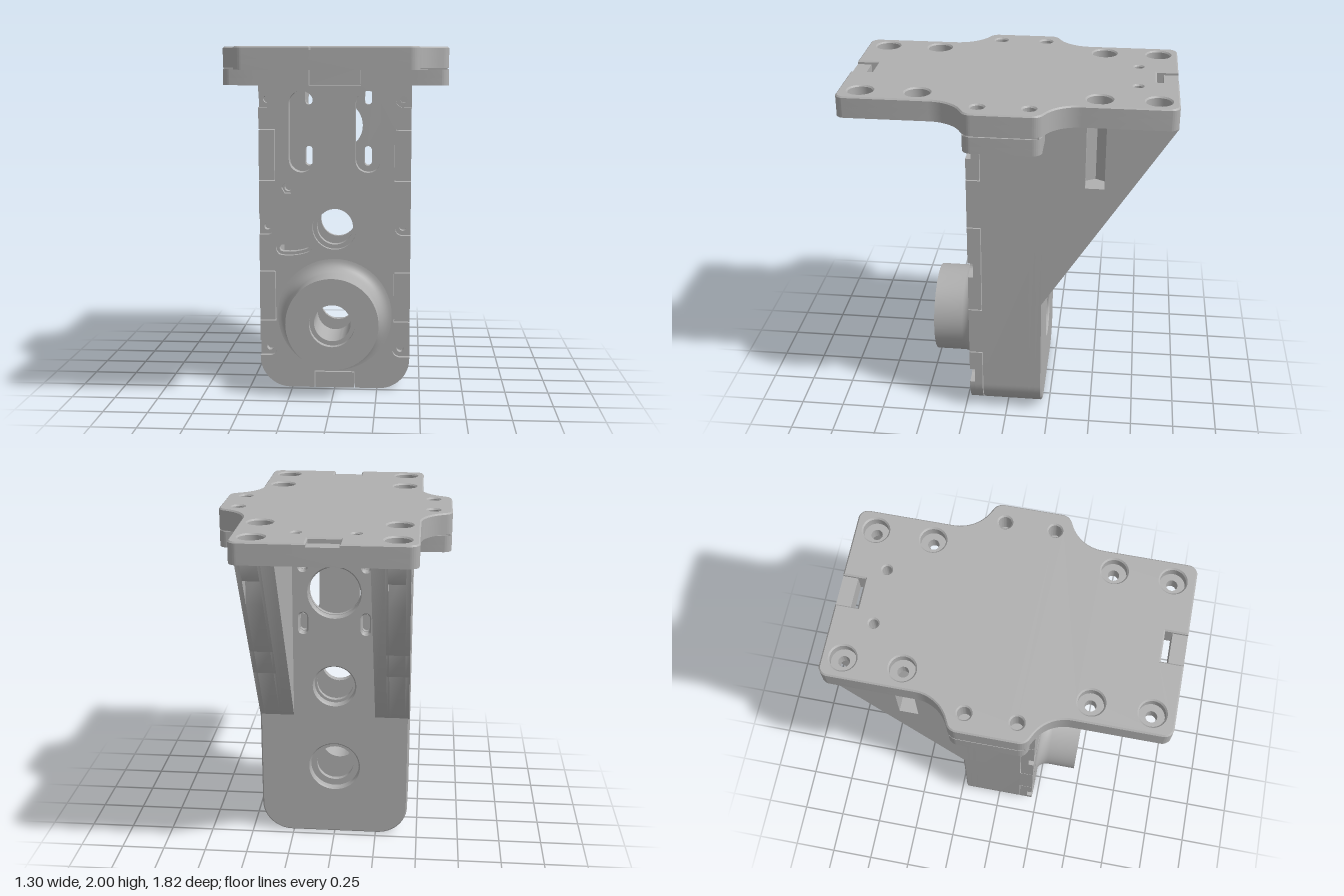
import * as THREE from 'three';
import { toCreasedNormals } from 'three/addons/utils/BufferGeometryUtils.js';

const V = (x, y) => new THREE.Vector2(x, y);

// Closed outline from [x, y, cornerRadius] points
function poly(points) {
  const shape = new THREE.Shape();
  const n = points.length;
  points.forEach((p, i) => {
    const c = V(p[0], p[1]);
    const r = p[2] || 0;
    const move = (q) => (i === 0 ? shape.moveTo(q.x, q.y) : shape.lineTo(q.x, q.y));
    if (!r) return move(c);
    const q0 = points[(i + n - 1) % n], q1 = points[(i + 1) % n];
    const a = V(q0[0], q0[1]).sub(c).normalize();
    const b = V(q1[0], q1[1]).sub(c).normalize();
    const turn = Math.PI - Math.acos(a.dot(b));
    const t = r * Math.tan(turn / 2);
    const k = t - (4 / 3) * Math.tan(turn / 4) * r;
    const s = c.clone().addScaledVector(a, t), e = c.clone().addScaledVector(b, t);
    const h0 = c.clone().addScaledVector(a, k), h1 = c.clone().addScaledVector(b, k);
    move(s);
    shape.bezierCurveTo(h0.x, h0.y, h1.x, h1.y, e.x, e.y);
  });
  shape.closePath();
  return shape;
}

const rect = (x0, y0, x1, y1) => poly([[x0, y0], [x1, y0], [x1, y1], [x0, y1]]);
const circle = (x, y, r) => new THREE.Shape().absarc(x, y, r, 0, Math.PI * 2, false);
const hexagon = (x, y, r) => poly([0, 1, 2, 3, 4, 5].map((i) =>
  [x + r * Math.cos(i * Math.PI / 3), y + r * Math.sin(i * Math.PI / 3)]));

// Round-ended slot along a curve
function slot(curve, r) {
  const pts = [];
  const along = (t, turn) => {
    const p = curve.getPoint(t), d = curve.getTangent(t);
    pts.push(p.add(d.rotateAround(V(0, 0), turn).multiplyScalar(r)));
  };
  const h = Math.PI / 2;
  for (let i = 0; i <= 8; i++) along(i / 8, -h);
  for (let i = 1; i < 10; i++) along(1, -h + i * Math.PI / 10);
  for (let i = 8; i >= 0; i--) along(i / 8, h);
  for (let i = 1; i < 10; i++) along(0, h + i * Math.PI / 10);
  return new THREE.Shape(pts);
}
const uprightSlot = (x, y0, y1, r) => slot(new THREE.LineCurve(V(x, y0 + r), V(x, y1 - r)), r);

// Extrude between two levels, optionally with chamfered ends
function slab(shape, holes, from, to, bevel = 0) {
  shape.holes.push(...holes);
  const g = new THREE.ExtrudeGeometry(shape, {
    depth: to - from - 2 * bevel, curveSegments: 20, bevelEnabled: bevel > 0,
    bevelSize: bevel, bevelThickness: bevel, bevelOffset: -bevel, bevelSegments: 1,
  });
  return g.translate(0, 0, from + bevel);
}

// Mirror a right-hand list of points across x = 0
const mirrored = (pts) => [...pts, ...pts.map(([x, y, r]) => [-x, y, r]).reverse()];

export function createModel() {
  const model = new THREE.Group();
  const grey = new THREE.MeshStandardMaterial({ color: 0xb0b0b0 });
  grey.name = 'grey';
  const add = (name, geometry) => {
    const mesh = new THREE.Mesh(toCreasedNormals(geometry, 0.6), grey);
    mesh.name = name;
    model.add(mesh);
    return mesh;
  };
  const sides = [-1, 1];
  const both = (fn) => sides.flatMap((s) => fn(s));

  // Rear housing: chamfered back wall, inner lip wall and side walls
  const body = () => poly(mirrored([[0.44, 0, 0.18], [0.44, 1.88]]));
  const backOpenings = (r1, r2) => [
    circle(0, 0.44, r1), circle(0, 0.96, r2), circle(0, 1.53, 0.147),
    ...both((s) => [uprightSlot(s * 0.18, 1.285, 1.405, 0.022), uprightSlot(s * 0.18, 1.655, 1.775, 0.022)]),
  ];
  add('backWall', slab(body(), backOpenings(0.145, 0.12), -0.21, -0.16, 0.008));
  add('backWallLip', slab(body(), backOpenings(0.11, 0.107), -0.16, -0.13));
  const cavity = poly(mirrored([[0.335, 0.11, 0.1], [0.335, 1.77]]));
  add('housingWalls', slab(body(), [cavity], -0.195, 0.14));

  // Housing tabs that interlock with the cover
  for (const s of sides) {
    for (const y of [0.55, 1.38]) {
      add('sideTab', slab(rect(s * 0.395 - 0.045, y - 0.144, s * 0.395 + 0.045, y + 0.144), [], 0.13, 0.22));
    }
  }
  add('bottomTab', slab(rect(-0.114, 0, 0.114, 0.094), [], 0.13, 0.22));
  add('topTab', slab(rect(-0.144, 1.786, 0.144, 1.88), [], 0.13, 0.22));

  // Front cover in two layers: the front one has open screw pockets
  const screws = [[0.385, 0.235], [0.395, 0.96], [0.395, 1.7]];
  const tabNotch = (y) => [[0.44, y - 0.15], [0.345, y - 0.15], [0.345, y + 0.15], [0.44, y + 0.15]];
  const pocket = ([x, y]) => [[0.44, y - 0.045], [x - 0.045, y - 0.045, 0.044], [x - 0.045, y + 0.045, 0.044], [0.44, y + 0.045]];
  const cover = (pockets) => poly(mirrored([
    [0.12, 0.1], [0.12, 0], [0.44, 0, 0.18],
    ...(pockets ? pocket(screws[0]) : []), ...tabNotch(0.55),
    ...(pockets ? pocket(screws[1]) : []), ...tabNotch(1.38),
    ...(pockets ? pocket(screws[2]) : []),
    [0.44, 1.88], [0.15, 1.88], [0.15, 1.78],
  ]));
  const bend = new THREE.QuadraticBezierCurve(V(-0.305, 0.832), V(-0.23, 0.825), V(-0.17, 0.848));
  const coverOpenings = (bore) => [
    circle(0, 0.44, 0.31), circle(0, 0.96, bore),
    ...both((s) => [uprightSlot(s * 0.1925, 1.28, 1.75, 0.073)]),
  ];
  add('coverFront', slab(cover(true),
    [...coverOpenings(0.13), hexagon(-0.272, 1.19, 0.037), slot(bend, 0.038)], 0.19, 0.22));
  add('coverBack', slab(cover(false), [
    ...coverOpenings(0.105), circle(-0.272, 1.19, 0.022), slot(bend, 0.021),
    ...both((s) => screws.map(([x, y]) => circle(s * x, y, 0.02))),
  ], 0.145, 0.19));

  // Bearing boss with a filleted foot and stepped bore
  const profile = [V(0.105, 0.145), V(0.335, 0.145)];
  for (let i = 0; i <= 8; i++) {
    const a = (1 - i / 8) * Math.PI / 2;
    profile.push(V(0.335 - 0.07 * Math.cos(a), 0.29 - 0.07 * Math.sin(a)));
  }
  profile.push(V(0.265, 0.46), V(0.13, 0.46), V(0.13, 0.42), V(0.105, 0.42), V(0.105, 0.145));
  add('bearingBoss', new THREE.LatheGeometry(profile, 64).rotateX(Math.PI / 2).translate(0, 0.44, 0));

  // Horizontal parts: drawn with shape y = -z, then laid flat
  const flat = (g) => g.rotateX(-Math.PI / 2);
  const boltRows = [0.8, 0.49, -0.48, -0.79];
  const plateOutline = (notched) => {
    const end = notched ? [[0.085, 0.79], [0.085, 0.91]] : [];
    const quarter = [...end, [0.48, 0.91, 0.05], [0.48, 0.28, 0.2], [0.65, 0.195, 0.06]];
    return poly(mirrored([...quarter, ...quarter.map(([x, y, r]) => [x, -y, r]).reverse()]));
  };
  const plateHoles = (boltRadius) => both((s) => [
    ...boltRows.map((y) => circle(s * 0.37, y, boltRadius)),
    ...sides.map((t) => circle(s * 0.545, t * 0.135, 0.035)),
    circle(s * 0.155, 0.69, 0.024),
  ]);
  const strapHoles = sides.map((s) => rect(-0.085, s * 0.81 - 0.02, 0.085, s * 0.81 + 0.02));
  add('topPlateLower', flat(slab(plateOutline(false), [...plateHoles(0.03), ...strapHoles], 1.88, 1.945)));
  add('topPlateUpper', flat(slab(plateOutline(true), plateHoles(0.068), 1.925, 2, 0.008)));
  for (const s of sides) {
    add('strapBridge', new THREE.BoxGeometry(0.17, 0.05, 0.08).translate(0, 1.955, s * 0.87));
  }

  // Side flanges under the plate, with hex nut pockets below
  for (const s of sides) {
    const outline = () => poly([[s * 0.43, -0.21], [s * 0.65, -0.21, 0.05], [s * 0.65, 0.21, 0.05], [s * 0.43, 0.21]]);
    add('flangeLower', flat(slab(outline(), sides.map((t) => hexagon(s * 0.545, t * 0.135, 0.062)), 1.78, 1.82)));
    add('flangeUpper', flat(slab(outline(), sides.map((t) => circle(s * 0.545, t * 0.135, 0.035)), 1.82, 1.872)));
    add('flangeSpacer', new THREE.BoxGeometry(0.2, 0.012, 0.4).translate(s * 0.54, 1.876, 0).scale(1, 1, 0.98));
  }

  // Rear gussets in layers, leaving a nut slot and a bolt shaft
  const slope = (u) => 0.77 + (u - 0.21) * 1.58;
  const layers = [
    [0.24, 0.31, [[0.2, 0.91]]],
    [0.31, 0.325, [[0.2, 0.43], [0.43, 0.535, 1.51], [0.535, 0.91]]],
    [0.325, 0.415, [[0.2, 0.43], [0.43, 0.535, 1.51], [0.535, 0.75], [0.85, 0.91]]],
    [0.415, 0.44, [[0.2, 0.43], [0.43, 0.535, 1.51], [0.535, 0.91]]],
  ];
  for (const s of sides) {
    for (const [x0, x1, pieces] of layers) {
      for (const [u0, u1, top = 1.88] of pieces) {
        const shape = poly([[u0, slope(u0)], [u1, slope(u1)], [u1, top], [u0, top]]);
        const [from, to] = s > 0 ? [x0, x1] : [-x1, -x0];
        add('gusset', slab(shape, [], from, to).rotateY(Math.PI / 2));
      }
    }
    // Angled end faces of the nut slot
    for (const u of [0.43, 0.535]) {
      const wedge = poly([[s * 0.31, 0.4825], [s * 0.31, u], [s * 0.34, u]]);
      add('nutSlotFace', flat(slab(wedge, [], 1.51, 1.88)));
    }
  }
  return model;
}
